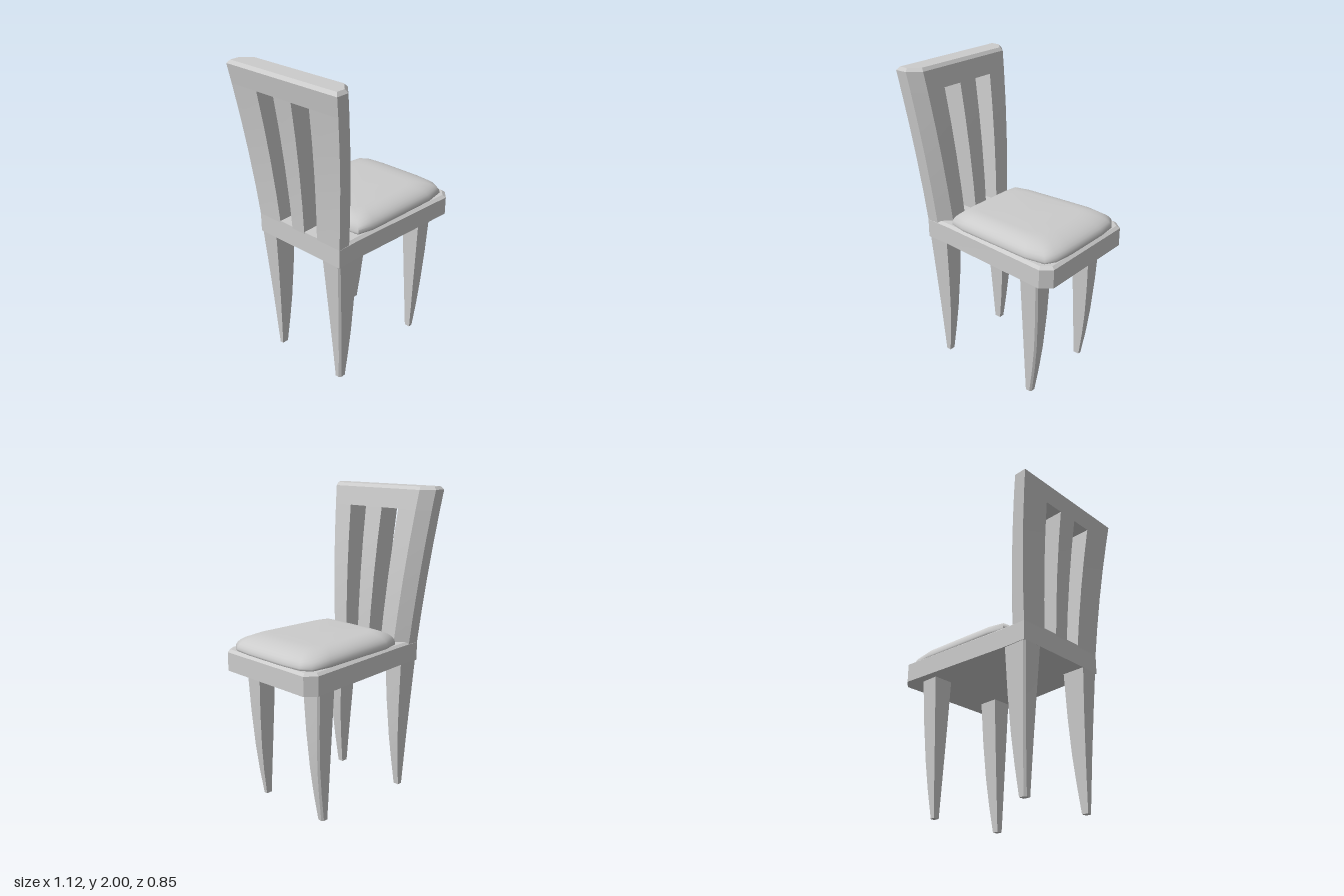
import * as THREE from 'three';
import { toCreasedNormals } from 'three/addons/utils/BufferGeometryUtils.js';

const material = new THREE.MeshStandardMaterial({ color: 0xcccccc });

// Solid through horizontal rings: each level is { y, ring: [[x, z], ...] }.
function loft(name, levels, crease = 0.5) {
  const first = levels[0].ring;
  let area = 0;
  first.forEach(([x, z], i) => {
    const [x2, z2] = first[(i + 1) % first.length];
    area += x * z2 - x2 * z;
  });
  const rings = levels.map(({ y, ring }) => {
    const points = ring.map(([x, z]) => new THREE.Vector3(x, y, z));
    return area > 0 ? points.reverse() : points;
  });
  const n = first.length;
  const pos = [];
  const tri = (...pts) => pts.forEach((p) => pos.push(p.x, p.y, p.z));
  const centre = (ring) => ring.reduce((s, p) => s.add(p), new THREE.Vector3()).divideScalar(n);
  const bottom = rings[0], top = rings[rings.length - 1];
  const cb = centre(bottom), ct = centre(top);
  for (let i = 0; i < n; i++) {
    const j = (i + 1) % n;
    for (let k = 0; k < rings.length - 1; k++) {
      const a = rings[k], b = rings[k + 1];
      tri(a[i], a[j], b[j]);
      tri(a[i], b[j], b[i]);
    }
    tri(cb, bottom[j], bottom[i]);
    tri(ct, top[i], top[j]);
  }
  const geometry = new THREE.BufferGeometry();
  geometry.setAttribute('position', new THREE.Float32BufferAttribute(pos, 3));
  const mesh = new THREE.Mesh(toCreasedNormals(geometry, crease), material);
  mesh.name = name;
  return mesh;
}

// Completes a half outline (z > 0) with its mirror image.
const mirrored = (half) => [...half, ...half.map(([x, z]) => [x, -z]).reverse()];

// Tapered leg; rows are [y, outer x, inner x, outer z, inner z].
function leg(name, rows, side) {
  return loft(name, rows.map(([y, xo, xi, zo, zi]) => {
    const c = 0.012 * Math.sign(xo - xi);
    return {
      y,
      ring: [[xi, zi], [xi, zo], [xo - c, zo], [xo, zo - 0.012], [xo, zi]].map(([x, z]) => [x, z * side]),
    };
  }));
}

// Curved, flaring backrest: rear face x and half width at height y.
const rise = (y) => (y - 1.01) / 0.97;
const rearX = (y) => -0.46 - 0.05 * rise(y) - 0.055 * rise(y) ** 2;
const halfWidth = (y) => 0.335 + 0.09 * rise(y);
const slotOuter = (y) => 0.155 + 0.05 * (y - 1.01) / 0.85;
const slotInner = (y) => 0.05 + 0.018 * (y - 1.01) / 0.85;

export function createModel() {
  const chair = new THREE.Group();
  chair.name = 'chair';

  // Seat board with clipped front corners and a bevelled rim
  const board = [[-0.46, 0.335], [-0.3, 0.338], [0.495, 0.4], [0.56, 0.345]];
  const rim = [[-0.46, 0.318], [-0.3, 0.32], [0.487, 0.378], [0.54, 0.333]];
  chair.add(loft('seat', [
    { y: 0.885, ring: mirrored(board) },
    { y: 1.005, ring: mirrored(board) },
    { y: 1.02, ring: mirrored(rim) },
  ], 0.2));

  // Domed cushion, blending from its outer seam to a flat top
  const seam = [[-0.282, 0.2], [-0.268, 0.31], [-0.16, 0.337], [0.1, 0.352], [0.36, 0.366],
    [0.495, 0.347], [0.533, 0.285], [0.545, 0.16]];
  const crown = [[-0.17, 0.12], [-0.165, 0.185], [-0.1, 0.205], [0.08, 0.215], [0.26, 0.22],
    [0.325, 0.205], [0.345, 0.17], [0.35, 0.1]];
  const cushionRing = (t) => mirrored(seam.map(([x, z], i) => [
    THREE.MathUtils.lerp(x, crown[i][0], t), THREE.MathUtils.lerp(z, crown[i][1], t)]));
  const cushion = [{ y: 1.01, ring: cushionRing(0.08) }, { y: 1.022, ring: cushionRing(0) }];
  for (let k = 0; k <= 8; k++) {
    const a = (k / 8) * Math.PI / 2;
    cushion.push({ y: 1.032 + 0.083 * Math.sin(a), ring: cushionRing(1 - Math.cos(a)) });
  }
  chair.add(loft('cushion', cushion, 1.1));

  // Legs
  const rearLeg = [
    [0, -0.41, -0.365, 0.285, 0.247], [0.18, -0.418, -0.343, 0.295, 0.237],
    [0.36, -0.427, -0.325, 0.304, 0.227], [0.6, -0.441, -0.312, 0.317, 0.214],
    [0.89, -0.46, -0.305, 0.332, 0.2]];
  const frontLeg = [
    [0, 0.355, 0.315, 0.285, 0.247], [0.18, 0.383, 0.312, 0.295, 0.237],
    [0.36, 0.404, 0.309, 0.304, 0.227], [0.6, 0.42, 0.305, 0.317, 0.214],
    [0.89, 0.43, 0.3, 0.332, 0.2]];
  for (const side of [1, -1]) {
    chair.add(leg('rearLeg', rearLeg, side));
    chair.add(leg('frontLeg', frontLeg, side));
  }

  // Backrest posts and centre slat, leaving two tapered slots
  const heights = [1.0, 1.2, 1.43, 1.65, 1.86];
  for (const side of [1, -1]) {
    chair.add(loft('backPost', heights.map((y) => {
      const r = rearX(y), w = halfWidth(y), s = slotOuter(y);
      const ring = [[r, s], [r, w], [r + 0.083, w], [r + 0.155, w - 0.07], [r + 0.155, s]];
      return { y, ring: ring.map(([x, z]) => [x, z * side]) };
    })));
  }
  chair.add(loft('centreSlat', heights.map((y) => ({
    y, ring: mirrored([[rearX(y), slotInner(y)], [rearX(y) + 0.155, slotInner(y)]]),
  }))));

  // Top rail with a bevelled upper edge
  const railRing = (y, inset) => {
    const r = rearX(y), w = halfWidth(y) - inset;
    return mirrored([[r + inset, w], [r + 0.083 - inset / 2, w],
      [r + 0.155 - inset, w - 0.07 + inset / 2]]);
  };
  chair.add(loft('topRail', [
    { y: 1.86, ring: railRing(1.86, 0) },
    { y: 1.98, ring: railRing(1.98, 0) },
    { y: 2.0, ring: railRing(1.98, 0.017) },
  ]));

  return chair;
}
